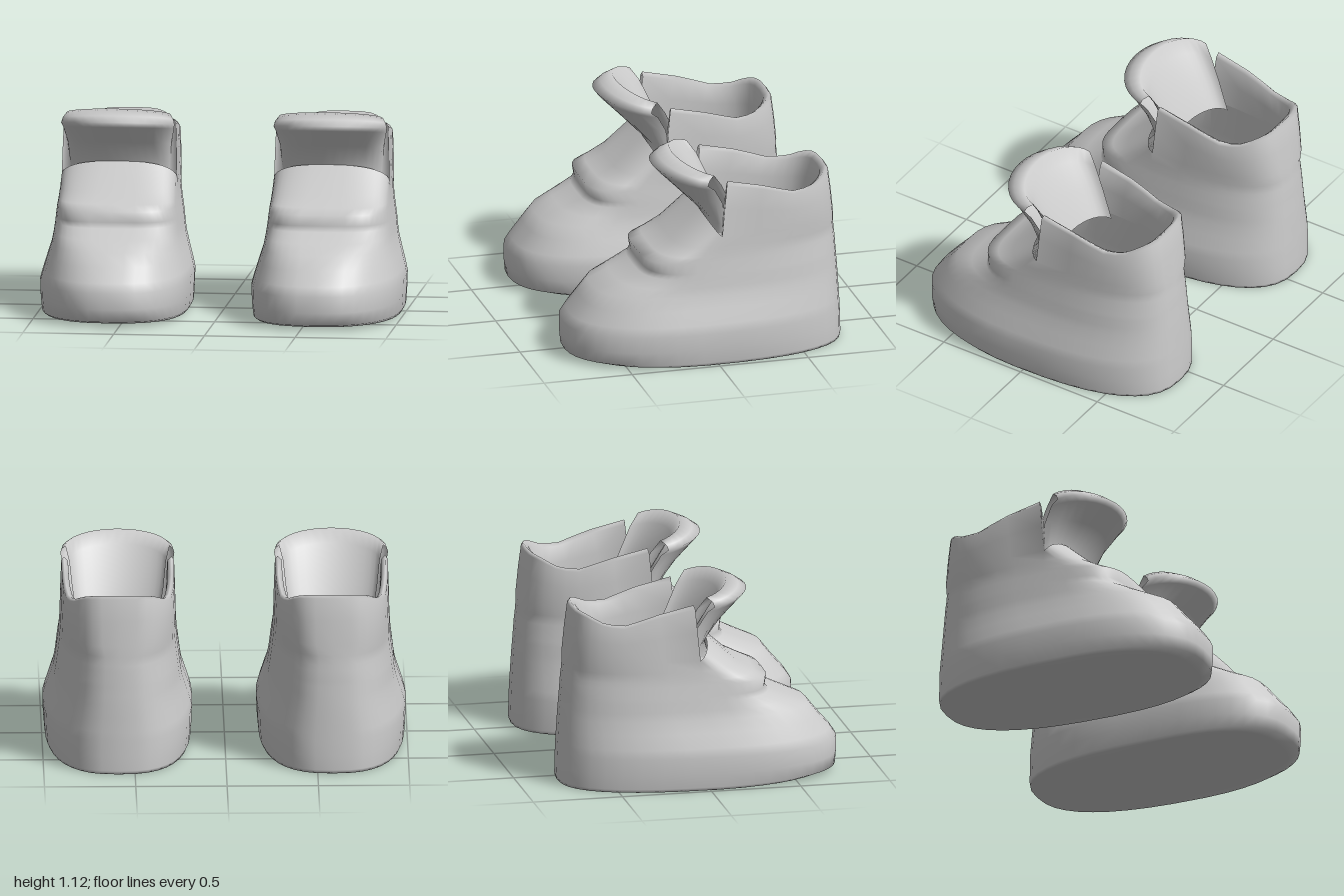
import * as THREE from 'three';
import { mergeGeometries, mergeVertices } from 'three/addons/utils/BufferGeometryUtils.js';

const N = 40;        // columns around the boot, column 0 at the toe
const CX = 0.585;    // distance of each boot from the middle

// Height of the collar rim along z: high at the front and heel, low at the ankle
const RIM = [[-0.7, 1.0], [-0.66, 0.99], [-0.56, 0.94], [-0.46, 0.93], [-0.12, 1.035], [0, 1.03]];
function rimY(z) {
  for (let i = 1; i < RIM.length; i++) {
    const [z0, y0] = RIM[i - 1], [z1, y1] = RIM[i];
    if (z <= z1) return y0 + (y1 - y0) * Math.max(0, (z - z0) / (z1 - z0));
  }
  return 1.03;
}

// Horizontal ring: half width, back, widest point and front in z, squareness of front and back
function ring(y, w, zb, zm, zf, nf = 2.3, nb = 2.6) {
  const pts = [];
  for (let i = 0; i < N; i++) {
    const a = (i / N) * Math.PI * 2, s = Math.sin(a), c = Math.cos(a);
    let n = c > 0 ? nf : nb;
    if (c > 0 && s < 0) n += 0.4; // fuller on the inner side
    const x = w * Math.sign(s) * Math.abs(s) ** (2 / n);
    const z = zm + (c > 0 ? zf - zm : zm - zb) * Math.sign(c) * Math.abs(c) ** (2 / n);
    pts.push([x, typeof y === 'function' ? y(z, c) : y, z]);
  }
  return pts;
}

// Surface through rows of points
function grid(rows, closed, side) {
  const n = rows[0].length, pos = [], idx = [];
  rows.forEach(r => r.forEach(([x, y, z]) => pos.push(side * (CX + x), y, z)));
  for (let r = 0; r < rows.length - 1; r++) {
    for (let c = 0; c < (closed ? n : n - 1); c++) {
      const a = r * n + c, b = r * n + (c + 1) % n, d = a + n, e = b + n;
      if (side > 0) idx.push(a, b, e, a, e, d);
      else idx.push(a, e, b, a, d, e);
    }
  }
  const g = new THREE.BufferGeometry();
  g.setAttribute('position', new THREE.Float32BufferAttribute(pos, 3));
  g.setIndex(idx);
  return g;
}

function mesh(name, parts) {
  const g = mergeVertices(mergeGeometries(parts), 1e-4);
  g.computeVertexNormals();
  const m = new THREE.Mesh(g, new THREE.MeshStandardMaterial({ color: 0xcccccc, side: THREE.DoubleSide }));
  m.name = name;
  return m;
}

const point = (y, z) => Array.from({ length: N }, () => [0, y, z]);
const backHalf = r => r.slice(N / 4, (3 * N) / 4 + 1);

function createBoot(side) {
  const boot = new THREE.Group();
  boot.name = side > 0 ? 'leftBoot' : 'rightBoot';

  // Sole, toe box and vamp, stepped where the lacing panel overlaps the toe
  const throat = ring((z, c) => 0.72 + 0.09 * Math.max(0, c), 0.318, -0.735, -0.04, 0.03, 2.6, 3);
  const body = [
    point(0.01, 0),
    ring(0.008, 0.3, -0.6, 0.05, 0.55),
    ring((z, c) => 0.002 + 0.014 * Math.max(0, c), 0.39, -0.775, 0.06, 0.71),
    ring((z, c) => 0.02 + 0.012 * Math.max(0, c), 0.4, -0.778, 0.08, 0.772),
    ring(0.1, 0.407, -0.776, 0.1, 0.778),
    ring(0.19, 0.41, -0.773, 0.1, 0.778),
    ring(0.24, 0.398, -0.77, 0.08, 0.745),
    ring(0.32, 0.374, -0.766, 0.04, 0.675, 2.5),
    ring(0.39, 0.354, -0.762, 0, 0.62, 2.5),
    ring(0.44, 0.346, -0.758, -0.02, 0.5, 2.8),
    ring(0.49, 0.34, -0.754, -0.04, 0.385, 3.2),
    ring(0.52, 0.336, -0.752, -0.04, 0.36, 3.6),
    ring(0.58, 0.328, -0.748, -0.04, 0.37, 3.6),
    ring(0.61, 0.325, -0.744, -0.04, 0.3, 3.4),
    ring(0.66, 0.321, -0.74, -0.04, 0.2, 3.1),
    throat,
  ];

  // Collar, open at the front, folding over its rim into the lining
  const part = t => z => 0.72 + (rimY(z) - 0.72) * t;
  const collar = [
    throat,
    ring(part(0.5), 0.314, -0.72, -0.055, 0, 2.6, 3.1),
    ring(part(0.93), 0.309, -0.703, -0.068, 0, 2.6, 3.2),
    ring(rimY, 0.295, -0.69, -0.075, 0, 2.6, 3.2),
    ring(part(0.93), 0.272, -0.66, -0.075, 0, 2.6, 3.2),
    ring(part(0.5), 0.265, -0.65, -0.06, 0, 2.6, 3),
    ring(0.72, 0.265, -0.65, -0.05, 0, 2.6, 3),
  ];
  const strip = collar.map(backHalf), end = strip[0].length - 1;
  const cap = c => [[strip[0][c], strip[6][c]], [strip[1][c], strip[5][c]], [strip[2][c], strip[4][c]], [strip[3][c], strip[3][c]]];
  boot.add(mesh('upper', [
    grid(body, true, side),
    grid(strip, false, side),
    grid(cap(0), false, side),
    grid(cap(end).map(r => r.reverse()), false, side),
  ]));

  // Inside of the foot, down to the insole
  boot.add(mesh('lining', [grid([
    collar[6],
    ring(0.5, 0.275, -0.67, -0.04, 0.2, 2.6, 2.8),
    ring(0.25, 0.29, -0.68, 0, 0.4),
    ring(0.14, 0.25, -0.62, 0, 0.4),
    point(0.12, -0.1),
  ], true, side)]));

  // Tongue, flared forward and rolled over its top: half width, centre y and z, edge y and z
  const tongue = [
    [0.27, 0.7, 0.06, 0.68, -0.1],
    [0.275, 0.81, 0.03, 0.76, -0.07],
    [0.285, 0.93, 0.15, 0.9, -0.05],
    [0.305, 1.03, 0.25, 0.99, 0],
    [0.312, 1.06, 0.275, 1.02, 0.04],
    [0.305, 1.09, 0.23, 1.045, 0.03],
    [0.285, 1.12, 0.16, 1.07, 0],
    [0.265, 1.05, 0.11, 1.0, -0.05],
    [0.25, 0.9, 0.01, 0.87, -0.11],
    [0.225, 0.74, -0.07, 0.72, -0.18],
  ].map(([w, yc, zc, ye, ze]) => Array.from({ length: 17 }, (_, i) => {
    const a = (i / 16 - 0.5) * Math.PI, k = Math.cos(a);
    return [w * Math.sin(a), ye + (yc - ye) * k, ze + (zc - ze) * k];
  }));
  boot.add(mesh('tongue', [grid(tongue, false, side)]));
  return boot;
}

export function createModel() {
  const model = new THREE.Group();
  model.name = 'pairOfBoots';
  for (const side of [1, -1]) model.add(createBoot(side));
  return model;
}
